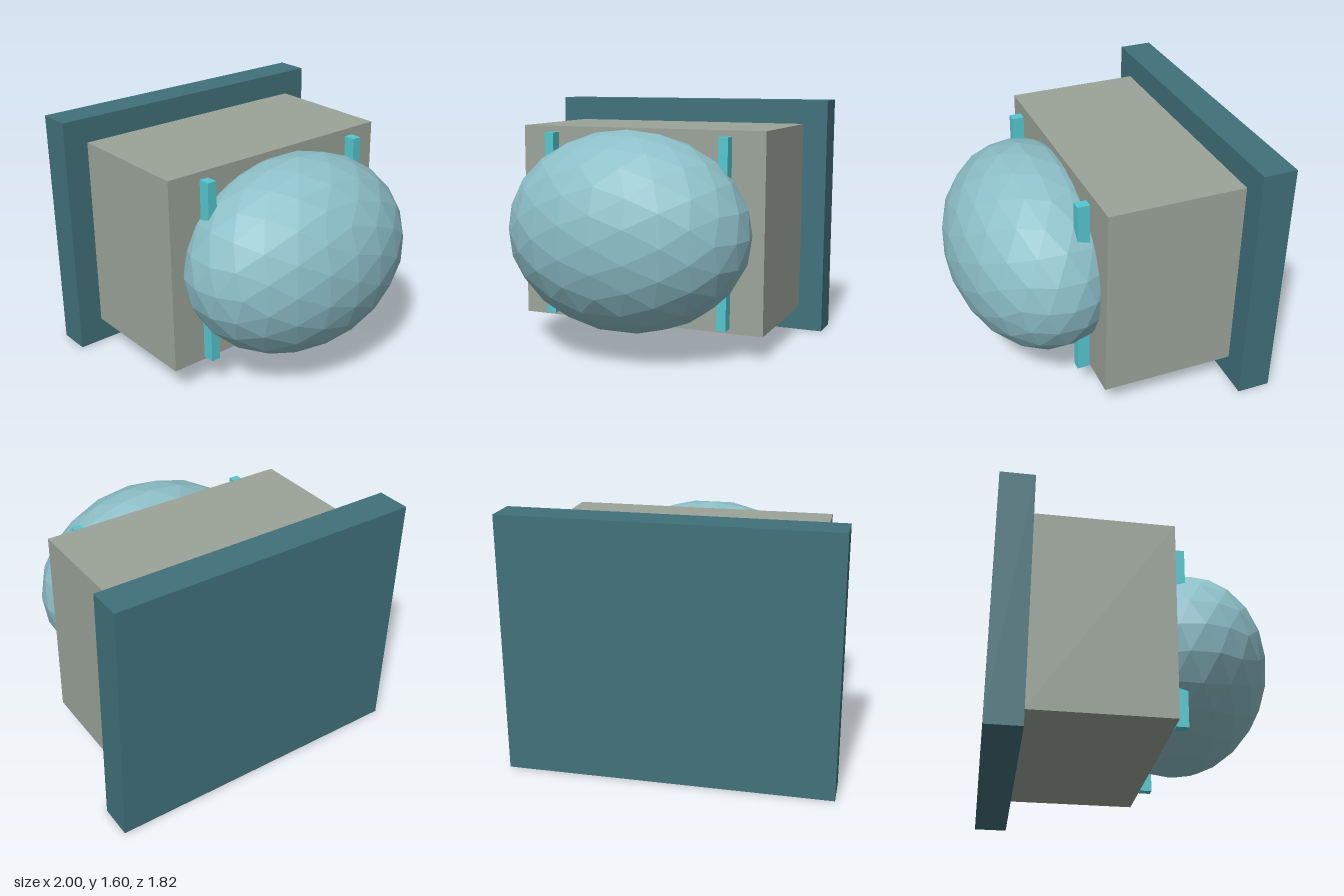
import * as THREE from 'three';

const flat = (name, color) => {
  const m = new THREE.MeshStandardMaterial({ color, flatShading: true });
  m.name = name;
  return m;
};

// Box given by its limits on each axis
function block(name, material, [x0, x1], [y0, y1], [z0, z1]) {
  const mesh = new THREE.Mesh(new THREE.BoxGeometry(x1 - x0, y1 - y0, z1 - z0), material);
  mesh.position.set((x0 + x1) / 2, (y0 + y1) / 2, (z0 + z1) / 2);
  mesh.name = name;
  return mesh;
}

// Icosphere: each triangle is halved and pushed to the sphere, twice
function icosphere() {
  const once = new THREE.IcosahedronGeometry(1, 1).attributes.position;
  const faces = Array.from({ length: once.count }, (_, i) => i);
  return new THREE.PolyhedronGeometry(Array.from(once.array), faces, 1, 1);
}

export function createModel() {
  const group = new THREE.Group();
  group.name = 'wallLamp';

  const teal = flat('dark teal', 0x41717a);
  const grey = flat('warm grey', 0x9ba499);
  const glass = flat('pale blue', 0x8dbfc8);
  const cyan = flat('bright cyan', 0x54c7cf);

  // Back plate and housing
  group.add(block('backPlate', teal, [-1, 1], [0, 1.6], [-0.912, -0.697]));
  group.add(block('housing', grey, [-0.837, 0.837], [0.165, 1.44], [-0.697, 0.172]));

  // Faceted dome, sunk into the housing
  const dome = new THREE.Mesh(icosphere().scale(0.8, 0.638, 0.557), glass);
  dome.geometry.computeVertexNormals();
  dome.position.set(0, 0.802, 0.355);
  dome.name = 'dome';
  group.add(dome);

  // Upright bars passing through the dome
  for (const [name, x] of [['leftBar', 0.597], ['rightBar', -0.597]]) {
    group.add(block(name, cyan, [x - 0.031, x + 0.031], [0.203, 1.403], [0.196, 0.274]));
  }
  return group;
}
